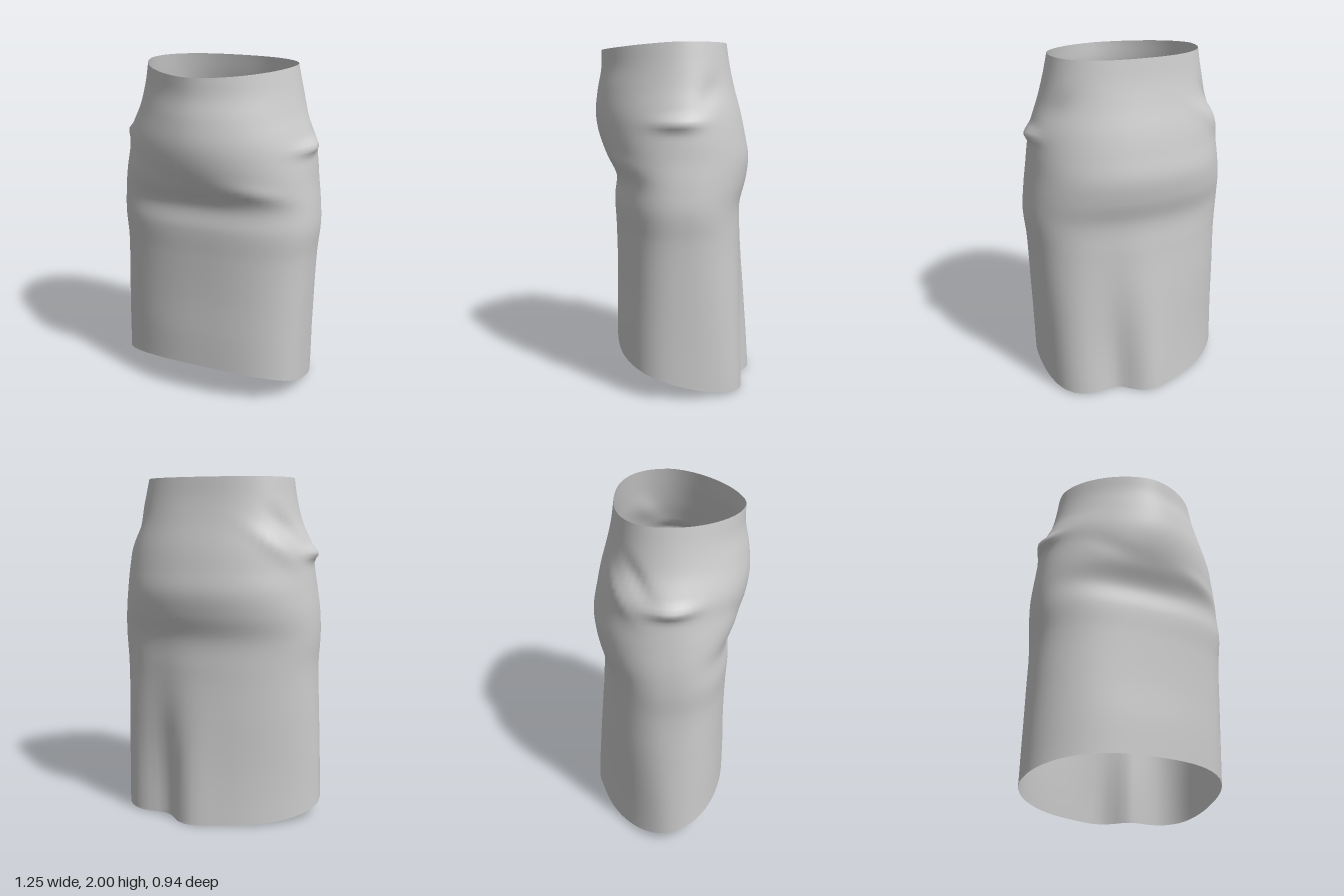
import * as THREE from 'three';

const SEGMENTS = 72, RINGS = 90;
const gauss = (d, w) => Math.exp(-(d * d) / (w * w));

// Body profile: height, then half width left (+x), half width right (-x),
// depth front, depth back, squareness front, squareness back
const PROFILE = [
  [0.00, 0.568, 0.625, 0.35, 0.445, 2.7, 2.1],
  [0.30, 0.576, 0.617, 0.35, 0.43, 2.7, 2.1],
  [0.60, 0.588, 0.605, 0.345, 0.415, 2.7, 2.15],
  [0.90, 0.603, 0.595, 0.35, 0.395, 2.6, 2.2],
  [1.08, 0.620, 0.603, 0.357, 0.39, 2.6, 2.2],
  [1.22, 0.610, 0.598, 0.347, 0.425, 2.6, 2.2],
  [1.35, 0.594, 0.582, 0.405, 0.44, 2.3, 2.2],
  [1.48, 0.582, 0.565, 0.45, 0.418, 2.0, 2.2],
  [1.60, 0.563, 0.555, 0.468, 0.392, 1.85, 2.2],
  [1.75, 0.512, 0.490, 0.455, 0.35, 1.8, 2.3],
  [1.88, 0.478, 0.458, 0.432, 0.32, 1.75, 2.4],
  [2.00, 0.452, 0.440, 0.430, 0.302, 1.7, 2.4],
];

// Folds: angle (90 = front, 270 = back), height, angular width, height width, push, slant
const FOLDS = [
  [294, 0.00, 12, 0.65, -0.068, 0],   // pleat valley, back left
  [273, 0.00, 11, 0.60, 0.027, 0],    // pleat ridge, centre back
  [322, 0.10, 16, 0.60, 0.024, 0],    // pleat lobe, back left
  [4, 1.56, 15, 0.035, 0.035, 0],     // pinched cloth at the left hip
  [177, 1.57, 15, 0.035, 0.035, 0],   // pinched cloth at the right hip
  [55, 1.33, 16, 0.05, 0.012, 0.002],
  [118, 1.44, 16, 0.05, -0.007, 0.003],
  [205, 1.70, 14, 0.06, -0.022, 0.006],
  [222, 1.62, 16, 0.05, 0.014, 0.006],
  [335, 1.72, 14, 0.08, -0.012, -0.004],
];

function foldPush(deg, y) {
  let push = 0;
  for (const [a, fy, wa, wy, amount, slant] of FOLDS) {
    const d = ((deg - a + 540) % 360) - 180;
    push += amount * gauss(d, wa) * gauss(y - fy - d * slant, wy);
  }
  return push;
}

function skirtGeometry() {
  const profile = new THREE.CubicInterpolant(
    PROFILE.map(r => r[0]), PROFILE.flatMap(r => r.slice(1)), 6, new Float32Array(6));
  const positions = [], index = [];
  for (let j = 0; j <= RINGS; j++) {
    const h = 2 * j / RINGS;
    const [left, right, front, back, squareF, squareB] = profile.evaluate(h);
    for (let i = 0; i < SEGMENTS; i++) {
      const angle = i / SEGMENTS * Math.PI * 2;
      const c = Math.cos(angle), s = Math.sin(angle);
      // The lower skirt is fuller on its left and more pointed on its right
      const low = 1 - THREE.MathUtils.smoothstep(h, 0, 1.3);
      const p = (s > 0 ? squareF : squareB) + low * (c > 0 ? 0.25 : -0.45);
      const r = (Math.abs(c) ** p + Math.abs(s) ** p) ** (-1 / p);
      const push = foldPush(i / SEGMENTS * 360, h);
      const x = c * (r * (c > 0 ? left : right) + push);
      const z = s * (r * (s > 0 ? front : back) + push);
      // Hem rises toward the front, waist dips slightly there
      const u = Math.max(0, (z + 0.46) / 0.81);
      const hem = 0.2 * u ** 1.8 * (1 - h / 2) ** 4;
      const dip = 0.033 * Math.max(0, z / 0.43) ** 1.3 * (h / 2) ** 8;
      positions.push(x, h + hem - dip, z);
      if (j < RINGS) {
        const a = j * SEGMENTS + i, b = j * SEGMENTS + (i + 1) % SEGMENTS;
        index.push(a, a + SEGMENTS, b, b, a + SEGMENTS, b + SEGMENTS);
      }
    }
  }
  const geometry = new THREE.BufferGeometry();
  geometry.setAttribute('position', new THREE.Float32BufferAttribute(positions, 3));
  geometry.setIndex(index);
  geometry.computeVertexNormals();
  return geometry;
}

export function createModel() {
  const group = new THREE.Group();
  group.name = 'skirt';
  const cloth = new THREE.MeshStandardMaterial({ color: 0xcccccc, side: THREE.DoubleSide });
  const body = new THREE.Mesh(skirtGeometry(), cloth);
  body.name = 'skirtBody';
  group.add(body);
  return group;
}
